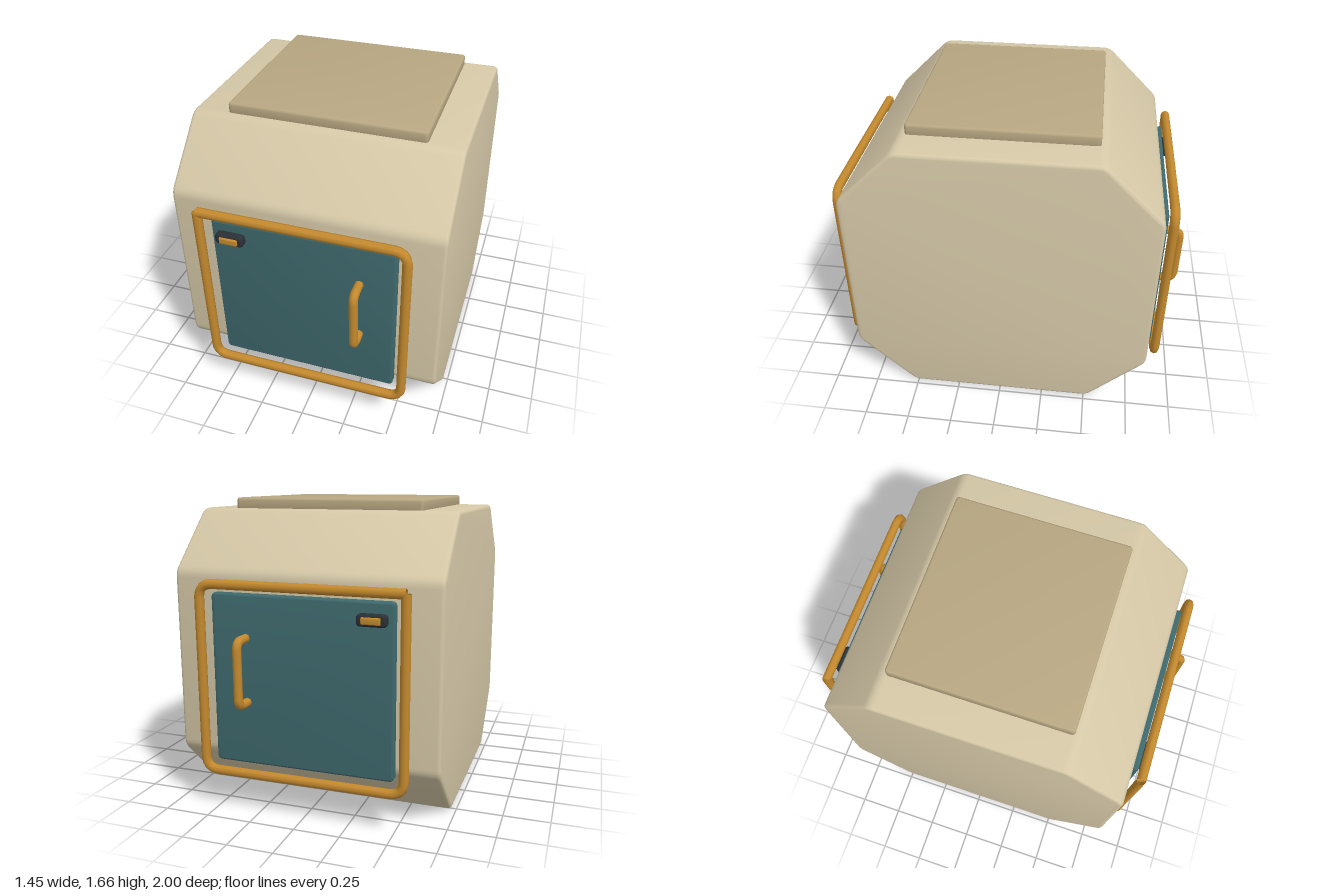
import * as THREE from 'three';
import { toCreasedNormals } from 'three/addons/utils/BufferGeometryUtils.js';

const material = (color) => new THREE.MeshStandardMaterial({ color });
const shellMat = material(0xd6c9a8);
const panelMat = material(0xb8a782);
const doorMat = material(0x3f6a6e);
const goldMat = material(0xc58a2e);
const darkMat = material(0x2b3036);
goldMat.side = THREE.DoubleSide;

function add(group, name, geometry, mat, x = 0, y = 0, z = 0) {
  const mesh = new THREE.Mesh(geometry, mat);
  mesh.name = name;
  mesh.position.set(x, y, z);
  group.add(mesh);
  return mesh;
}

// Polygon whose corners are rounded by r
function roundedShape(corners, r) {
  const pts = corners.map(([x, y]) => new THREE.Vector2(x, y));
  const shape = new THREE.Shape();
  pts.forEach((p, i) => {
    const toward = (q) => p.clone().add(q.clone().sub(p).setLength(r));
    const a = toward(pts[(i + pts.length - 1) % pts.length]);
    const b = toward(pts[(i + 1) % pts.length]);
    if (i === 0) shape.moveTo(a.x, a.y);
    else shape.lineTo(a.x, a.y);
    shape.quadraticCurveTo(p.x, p.y, b.x, b.y);
  });
  shape.closePath();
  return shape;
}

// Bevelled slab of the given full depth, centred on z
function slab(corners, depth, r, bevel) {
  const geometry = new THREE.ExtrudeGeometry(roundedShape(corners, r), {
    depth: depth - 2 * bevel, bevelThickness: bevel, bevelSize: bevel,
    bevelOffset: -bevel, bevelSegments: 3, curveSegments: 4,
  });
  geometry.translate(0, 0, bevel - depth / 2);
  return toCreasedNormals(geometry, 0.6);
}

const rect = (w, h) => [[-w / 2, -h / 2], [w / 2, -h / 2], [w / 2, h / 2], [-w / 2, h / 2]];

// Bent rod through the given points, with rounded bends
function rod(points, bend, radius, segments) {
  const pts = points.map((p) => new THREE.Vector3(...p));
  const path = new THREE.CurvePath();
  let from = pts[0];
  for (let i = 1; i < pts.length - 1; i++) {
    const toward = (q) => pts[i].clone().add(q.clone().sub(pts[i]).setLength(bend));
    const a = toward(pts[i - 1]);
    const b = toward(pts[i + 1]);
    path.add(new THREE.LineCurve3(from, a));
    path.add(new THREE.QuadraticBezierCurve3(a, pts[i], b));
    from = b;
  }
  path.add(new THREE.LineCurve3(from, pts[pts.length - 1]));
  return new THREE.TubeGeometry(path, segments, radius, 8, false);
}

// Door with its frame, handle and latch; s is 1 for front, -1 for back
function createDoor(s) {
  const door = new THREE.Group();
  door.name = s > 0 ? 'frontDoor' : 'backDoor';

  add(door, 'doorPanel', slab(rect(0.99, 0.915), 0.055, 0.025, 0.012), doorMat, 0, 0.732, s * 0.85);

  // Frame starts and ends at the upper left corner
  const z = s * 0.9;
  add(door, 'doorFrame', rod([
    [-0.555, 1.237, z], [0.55, 1.237, z], [0.55, 0.225, z], [-0.555, 0.225, z], [-0.555, 1.237, z],
  ], 0.075, 0.026, 160), goldMat);

  add(door, 'handle', rod([
    [0.303, 0.96, s * 0.86], [0.303, 0.96, s * 0.975], [0.303, 0.617, s * 0.975], [0.303, 0.617, s * 0.86],
  ], 0.045, 0.024, 60), goldMat);

  add(door, 'latchHousing', slab(rect(0.155, 0.062), 0.05, 0.022, 0.012), darkMat, -0.385, 1.1, s * 0.892);
  add(door, 'latchBar', slab(rect(0.1, 0.036), 0.04, 0.006, 0.006), goldMat, -0.385, 1.1, s * 0.908);
  return door;
}

export function createModel() {
  const model = new THREE.Group();
  model.name = 'octagonalCabin';

  // Octagonal shell extruded across the width
  const octagon = [
    [-0.52, 0], [0.52, 0], [0.84, 0.315], [0.84, 1.29],
    [0.52, 1.605], [-0.52, 1.605], [-0.84, 1.29], [-0.84, 0.315],
  ];
  const shell = add(model, 'shell', slab(octagon, 1.45, 0.035, 0.02), shellMat);
  shell.rotation.y = Math.PI / 2;

  // Raised roof panel
  const roof = add(model, 'roofPanel', slab(rect(1.065, 0.99), 0.07, 0.02, 0.015), panelMat, 0, 1.627, 0);
  roof.rotation.x = -Math.PI / 2;

  for (const s of [1, -1]) model.add(createDoor(s));
  return model;
}
